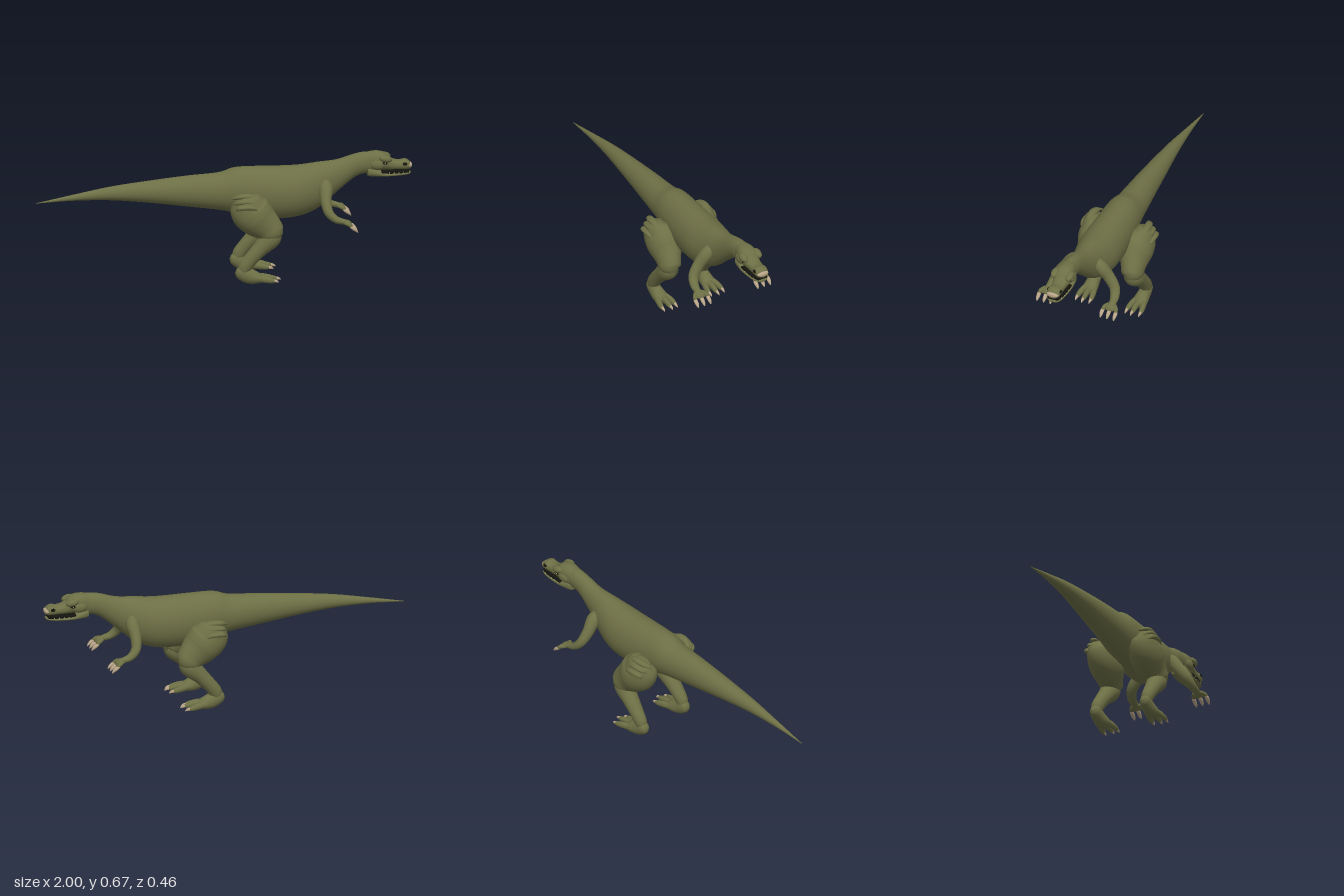
import * as THREE from 'three';

const material = (name, color) => {
  const m = new THREE.MeshStandardMaterial({ color });
  m.name = name;
  return m;
};

// Skin swept along sections [x, y, z, a, b]; a = radius in the side plane, b = sideways radius
function sweep(sections, { axis = null, steps = 5, sides = 24, power = 1 } = {}) {
  const spline = (f) => new THREE.CatmullRomCurve3(sections.map(f), false, 'catmullrom', 0.5);
  const path = spline((s) => new THREE.Vector3(s[0], s[1], s[2]));
  const radii = spline((s) => new THREE.Vector3(s[3], s[4], 0));
  const n = (sections.length - 1) * steps;
  const pos = [], index = [];
  const shape = (v) => Math.sign(v) * Math.pow(Math.abs(v), power);
  for (let i = 0; i <= n; i++) {
    const p = path.getPoint(i / n), r = radii.getPoint(i / n);
    const t = axis || path.getTangent(i / n);
    const w = new THREE.Vector3(0, 0, 1).addScaledVector(t, -t.z).normalize();
    const u = new THREE.Vector3().crossVectors(w, t);
    for (let j = 0; j < sides; j++) {
      const k = (j / sides) * Math.PI * 2;
      const q = p.clone()
        .addScaledVector(u, Math.max(r.x, 0.0008) * shape(Math.cos(k)))
        .addScaledVector(w, Math.max(r.y, 0.0008) * shape(Math.sin(k)));
      pos.push(q.x, q.y, q.z);
    }
  }
  for (let i = 0; i < n; i++) {
    for (let j = 0; j < sides; j++) {
      const a = i * sides + j, b = i * sides + (j + 1) % sides;
      index.push(a, b, a + sides, b, b + sides, a + sides);
    }
  }
  // End caps
  const first = pos.length / 3, last = n * sides;
  const p0 = path.getPoint(0), p1 = path.getPoint(1);
  pos.push(p0.x, p0.y, p0.z, p1.x, p1.y, p1.z);
  for (let j = 0; j < sides; j++) {
    const k = (j + 1) % sides;
    index.push(first, k, j, first + 1, last + j, last + k);
  }
  const g = new THREE.BufferGeometry();
  g.setAttribute('position', new THREE.Float32BufferAttribute(pos, 3));
  g.setIndex(index);
  g.computeVertexNormals();
  return g;
}

// Upright sections [x, top, bottom, halfWidth] along the body axis
const hull = (rows, options = {}) => sweep(
  rows.map(([x, top, bottom, w]) => [x, (top + bottom) / 2, 0, (top - bottom) / 2, w]),
  { axis: new THREE.Vector3(1, 0, 0), ...options });

export function createModel() {
  const model = new THREE.Group();
  model.name = 'bipedalReptile';
  const skin = material('olive skin', 0x6d6f45);
  const horn = material('horn', 0xb8a488);
  const dark = material('black', 0x14140f);

  const add = (name, geometry, mat, parent = model) => {
    const mesh = new THREE.Mesh(geometry, mat);
    mesh.name = name;
    parent.add(mesh);
    return mesh;
  };
  const ball = (name, mat, parent, [x, y, z], [rx, ry, rz]) => {
    const mesh = add(name, new THREE.SphereGeometry(1, 20, 14), mat, parent);
    mesh.position.set(x, y, z);
    mesh.scale.set(rx, ry, rz);
    return mesh;
  };

  // Tail, trunk and neck
  add('body', hull([
    [-1, 0.431, 0.429, 0.001], [-0.8, 0.473, 0.44, 0.016], [-0.6, 0.512, 0.438, 0.034],
    [-0.4, 0.538, 0.42, 0.053], [-0.2, 0.56, 0.395, 0.07], [-0.03, 0.574, 0.373, 0.085],
    [0.06, 0.6, 0.355, 0.097], [0.2, 0.603, 0.325, 0.107], [0.3, 0.602, 0.319, 0.112],
    [0.4, 0.605, 0.33, 0.11], [0.5, 0.618, 0.37, 0.086], [0.6, 0.63, 0.455, 0.057],
    [0.7, 0.66, 0.535, 0.044], [0.77, 0.668, 0.555, 0.042], [0.8, 0.65, 0.57, 0.03],
  ], { sides: 36 }), skin);

  // Head
  const head = new THREE.Group();
  head.name = 'head';
  model.add(head);
  add('skull', hull([
    [0.73, 0.65, 0.565, 0.03], [0.77, 0.668, 0.56, 0.043], [0.82, 0.671, 0.568, 0.05],
    [0.86, 0.658, 0.57, 0.048], [0.89, 0.63, 0.569, 0.04], [0.93, 0.62, 0.569, 0.037],
    [0.96, 0.625, 0.568, 0.038], [0.983, 0.615, 0.57, 0.034], [0.994, 0.6, 0.574, 0.022],
  ], { power: 0.85 }), skin, head);
  add('lowerJaw', hull([
    [0.762, 0.58, 0.542, 0.03], [0.768, 0.59, 0.537, 0.044], [0.82, 0.572, 0.535, 0.049],
    [0.86, 0.556, 0.536, 0.047], [0.93, 0.555, 0.539, 0.043], [0.975, 0.557, 0.543, 0.034],
    [0.992, 0.555, 0.547, 0.018],
  ], { power: 0.75 }), skin, head);
  add('mouthLining', hull([
    [0.835, 0.57, 0.555, 0.046], [0.88, 0.574, 0.55, 0.044],
    [0.94, 0.574, 0.55, 0.04], [0.982, 0.573, 0.551, 0.028],
  ], { power: 0.6 }), dark, head);
  add('noseHorn', hull([
    [0.972, 0.609, 0.581, 0.034], [0.985, 0.609, 0.578, 0.034],
    [0.996, 0.604, 0.58, 0.026], [1, 0.598, 0.586, 0.012],
  ]), horn, head);

  for (const s of [1, -1]) {
    const side = s > 0 ? 'left' : 'right';
    const group = (name) => {
      const g = new THREE.Group();
      g.name = side + name;
      model.add(g);
      return g;
    };

    // Brow, eye, nostril and teeth
    const face = group('Face');
    const brow = ball('brow', skin, face, [0.855, 0.636, 0.042 * s], [0.036, 0.019, 0.021]);
    brow.rotation.z = -0.2;
    ball('cheek', skin, face, [0.815, 0.605, 0.038 * s], [0.04, 0.028, 0.018]);
    ball('eye', dark, face, [0.852, 0.614, 0.046 * s], [0.015, 0.008, 0.008]);
    ball('eyeGlint', horn, face, [0.853, 0.615, 0.0525 * s], [0.004, 0.003, 0.003]);
    ball('nostril', dark, face, [0.96, 0.603, 0.034 * s], [0.013, 0.009, 0.007]);
    for (let i = 0; i < 4; i++) {
      const tooth = add('tooth', new THREE.ConeGeometry(0.003, 0.01, 6), horn, face);
      tooth.position.set(0.875 + i * 0.026, 0.56, (0.0445 - i * 0.002) * s);
    }

    // Arm with three clawed fingers
    const arm = group('Arm');
    const limb = (name, rows, mat, parent, options) =>
      add(name, sweep(rows.map(([x, y, z, a, b]) => [x, y, z * s, a, b]), options), mat, parent);
    limb('armSkin', [
      [0.53, 0.53, 0.05, 0.02, 0.02], [0.535, 0.495, 0.08, 0.036, 0.036],
      [0.53, 0.44, 0.122, 0.03, 0.033], [0.54, 0.385, 0.162, 0.025, 0.029],
      [0.575, 0.348, 0.178, 0.02, 0.024], [0.62, 0.334, 0.183, 0.015, 0.02],
      [0.645, 0.325, 0.183, 0.014, 0.03], [0.66, 0.318, 0.183, 0.005, 0.02],
    ], skin, arm);
    for (const d of [-0.038, 0, 0.038]) {
      const z = 0.183 + d;
      limb('finger', [[0.622, 0.333, 0.183 + d * 0.4, 0.01, 0.011],
        [0.645, 0.325, z - d * 0.15, 0.011, 0.012], [0.66, 0.314, z, 0.008, 0.009]], skin, arm, { sides: 12 });
      limb('fingerClaw', [[0.645, 0.323, z - d * 0.1, 0.006, 0.008], [0.662, 0.31, z, 0.01, 0.011],
        [0.68, 0.296, z, 0.008, 0.009], [0.691, 0.283, z, 0.002, 0.003]], horn, arm, { sides: 12 });
    }

    // Thigh with skin folds, shin and foot
    const leg = group('Leg');
    limb('thigh', [
      [0.088, 0.475, 0.135, 0.035, 0.03], [0.1, 0.447, 0.137, 0.08, 0.062],
      [0.125, 0.395, 0.125, 0.105, 0.085], [0.17, 0.345, 0.12, 0.1, 0.088],
      [0.222, 0.298, 0.13, 0.078, 0.066], [0.25, 0.26, 0.138, 0.062, 0.055],
      [0.253, 0.254, 0.138, 0.03, 0.03],
    ], skin, leg, { sides: 32 });
    for (let i = 0; i < 3; i++) {
      const y = -0.026 * i, z = 0.018 * i;
      limb('thighFold', [[0.03 + i * 0.01, 0.462 + y, 0.135 + z, 0.005, 0.008],
        [0.07, 0.477 + y, 0.155 + z, 0.013, 0.02], [0.13, 0.478 + y, 0.157 + z, 0.013, 0.02],
        [0.2 - i * 0.01, 0.45 + y, 0.14 + z, 0.005, 0.008]], skin, leg, { sides: 14 });
    }
    limb('shin', [
      [0.265, 0.29, 0.137, 0.035, 0.035], [0.236, 0.245, 0.138, 0.054, 0.052],
      [0.175, 0.185, 0.143, 0.042, 0.044], [0.125, 0.13, 0.147, 0.037, 0.037],
      [0.096, 0.09, 0.148, 0.036, 0.032], [0.09, 0.06, 0.147, 0.025, 0.026],
    ], skin, leg);
    limb('foot', [
      [0.05, 0.072, 0.147, 0.015, 0.014], [0.068, 0.065, 0.147, 0.034, 0.028],
      [0.115, 0.044, 0.146, 0.042, 0.034], [0.165, 0.03, 0.145, 0.03, 0.04],
      [0.2, 0.024, 0.145, 0.015, 0.028],
    ], skin, leg);
    for (const d of [-0.04, -0.003, 0.038]) {
      const z = 0.145 + d, lift = Math.abs(d) < 0.01 ? 0.005 : 0;
      const reach = lift ? 0.015 : 0;
      limb('toe', [[0.14, 0.035, 0.145 + d * 0.5, 0.018, 0.015], [0.2, 0.028 + lift, z - d * 0.15, 0.018, 0.015],
        [0.24 + reach, 0.021 + lift, z, 0.013, 0.012], [0.252 + reach, 0.018 + lift, z, 0.005, 0.005]],
      skin, leg, { sides: 14 });
      limb('toeClaw', [[0.235 + reach, 0.023 + lift, z, 0.006, 0.006], [0.25 + reach, 0.021 + lift, z, 0.009, 0.008],
        [0.263 + reach, 0.018 + lift, z, 0.007, 0.006], [0.275 + reach, 0.012 + lift, z, 0.001, 0.001]],
      horn, leg, { sides: 10 });
    }
  }
  return model;
}
